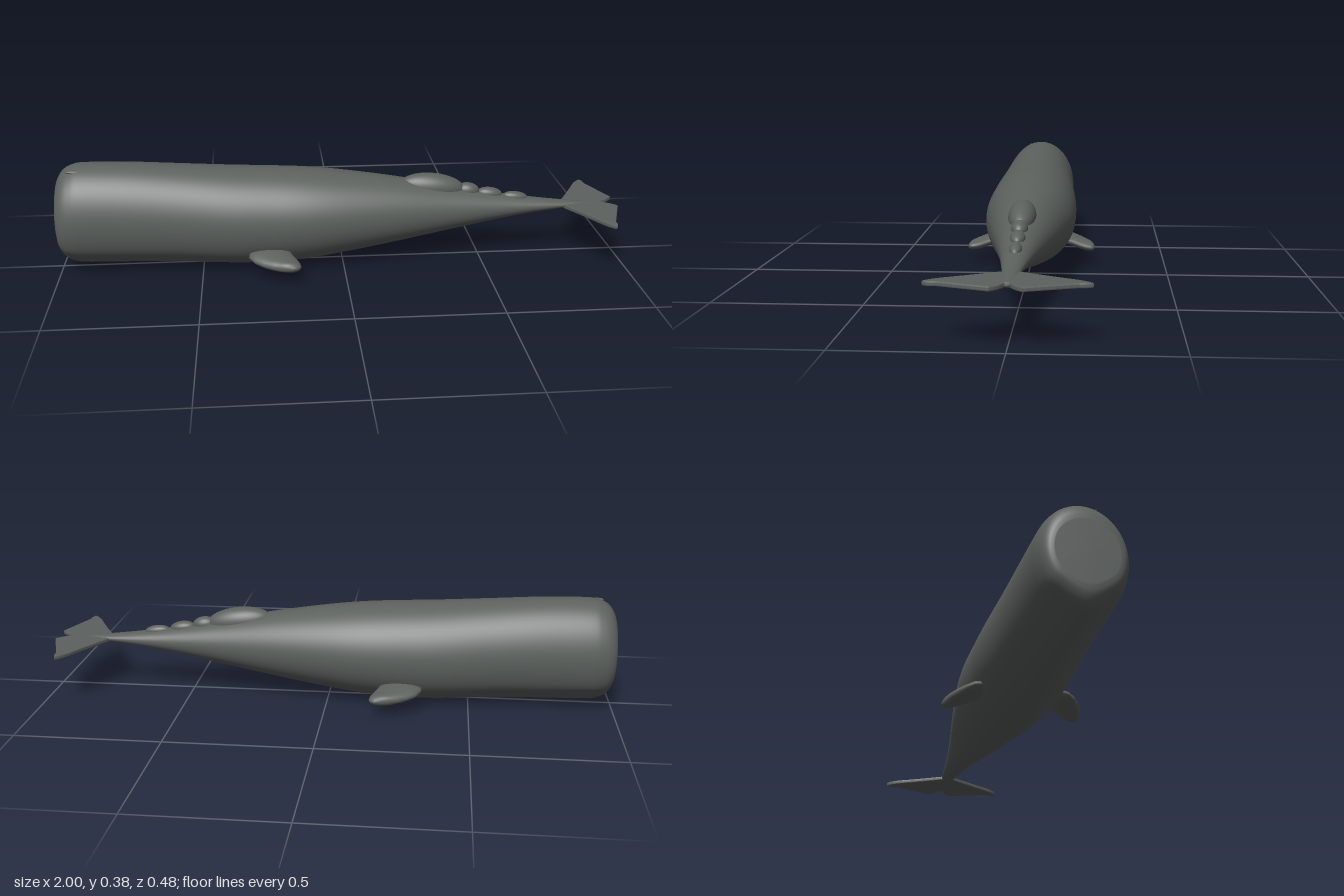
import * as THREE from 'three';

// Skin a list of closed rings, capping both ends
function loft(rings) {
  const n = rings[0].length, pos = [], idx = [];
  rings.forEach(r => r.forEach(p => pos.push(...p)));
  for (let i = 0; i < rings.length - 1; i++) {
    for (let j = 0; j < n; j++) {
      const k = (j + 1) % n, a = i * n + j, b = i * n + k;
      idx.push(a, a + n, b, b, a + n, b + n);
    }
  }
  const last = (rings.length - 1) * n, c = rings.length * n;
  for (const r of [rings[0], rings[rings.length - 1]]) {
    pos.push(...[0, 1, 2].map(d => r.reduce((s, p) => s + p[d], 0) / n));
  }
  for (let j = 0; j < n; j++) {
    const k = (j + 1) % n;
    idx.push(c, j, k, c + 1, last + k, last + j);
  }
  const g = new THREE.BufferGeometry();
  g.setAttribute('position', new THREE.Float32BufferAttribute(pos, 3));
  g.setIndex(idx);
  g.computeVertexNormals();
  return g;
}

// Body stations: x, top, bottom, half width, flatness of the jaw planes
const STATIONS = [
  [-1.0, 0.305, 0.095, 0.098, 0.4], [-0.994, 0.335, 0.066, 0.115, 0.5],
  [-0.975, 0.364, 0.038, 0.13, 0.6], [-0.945, 0.381, 0.025, 0.138, 0.6],
  [-0.9, 0.388, 0.02, 0.142, 0.6], [-0.75, 0.385, 0.017, 0.146, 0.6],
  [-0.58, 0.374, 0.013, 0.153, 0.55], [-0.4, 0.362, 0.004, 0.164, 0.4],
  [-0.28, 0.356, 0.006, 0.166, 0.15], [-0.14, 0.348, 0.016, 0.165, 0],
  [0, 0.333, 0.036, 0.151, 0], [0.2, 0.303, 0.07, 0.119, 0],
  [0.4, 0.264, 0.108, 0.083, 0], [0.6, 0.227, 0.145, 0.051, 0],
  [0.8, 0.2, 0.172, 0.027, 0], [0.96, 0.187, 0.18, 0.008, 0],
];

function bodyGeometry() {
  const spline = f => new THREE.CatmullRomCurve3(STATIONS.map(f), false, 'catmullrom');
  const profile = spline(s => new THREE.Vector3(s[0], s[1], s[2]));
  const girth = spline(s => new THREE.Vector3(s[3], s[4], 0));
  const rings = [], steps = (STATIONS.length - 1) * 4, sides = 64;
  const crease = 0.61, creaseZ = Math.sqrt(1 - crease * crease);
  for (let i = 0; i <= steps; i++) {
    const p = profile.getPoint(i / steps), w = girth.getPoint(i / steps);
    const mid = (p.y + p.z) / 2, h = (p.y - p.z) / 2, ring = [];
    for (let j = 0; j < sides; j++) {
      const a = j / sides * Math.PI * 2, y = Math.sin(a);
      let z = Math.cos(a);
      // below the mouth line the head narrows into two flatter planes
      if (y < -crease) {
        const chord = Math.sign(z) * creaseZ * (1 + y) / (1 - crease);
        z += (chord - z) * Math.max(0, w.y) * 0.75;
      }
      ring.push([p.x, mid + h * y, w.x * z]);
    }
    rings.push(ring);
  }
  return loft(rings);
}

// Flipper stations: z, leading x, trailing x, height, half thickness
const FLIPPER = [
  [0.11, -0.335, -0.2, 0.09, 0.02], [0.16, -0.337, -0.182, 0.08, 0.021],
  [0.185, -0.318, -0.168, 0.073, 0.021], [0.205, -0.29, -0.16, 0.069, 0.02],
  [0.222, -0.257, -0.158, 0.067, 0.018], [0.232, -0.226, -0.162, 0.066, 0.014],
  [0.238, -0.197, -0.174, 0.065, 0.006],
];

function flipperGeometry(side) {
  return loft(FLIPPER.map(([z, x0, x1, y, t]) => Array.from({ length: 24 }, (_, j) => {
    const a = j / 24 * Math.PI * 2;
    return [(x0 + x1) / 2 + (x1 - x0) / 2 * Math.cos(a), y - side * t * Math.sin(a), side * z];
  })));
}

// One half of the tail, drawn in plan and extruded upward
function flukeGeometry(side) {
  const s = new THREE.Shape();
  s.moveTo(0.8, 0);
  s.lineTo(0.81, side * 0.026);
  s.quadraticCurveTo(0.865, side * 0.12, 0.895, side * 0.18);
  s.quadraticCurveTo(0.915, side * 0.218, 0.936, side * 0.234);
  s.quadraticCurveTo(0.945, side * 0.222, 0.942, side * 0.198);
  s.lineTo(0.997, side * 0.046);
  s.quadraticCurveTo(0.978, side * 0.02, 0.945, side * 0.008);
  s.lineTo(0.945, 0);
  const g = new THREE.ExtrudeGeometry(s, {
    depth: 0.007, bevelThickness: 0.004, bevelSize: 0.003, bevelSegments: 2, curveSegments: 8,
  });
  g.rotateX(Math.PI / 2);
  g.translate(0, 0.1865, 0);
  return g;
}

export function createModel() {
  const model = new THREE.Group();
  const skin = new THREE.MeshStandardMaterial({ color: 0x5c615e });
  skin.name = 'grey skin';
  const add = (name, geometry) => {
    const mesh = new THREE.Mesh(geometry, skin);
    mesh.name = name;
    model.add(mesh);
    return mesh;
  };

  add('body', bodyGeometry());
  for (const [label, side] of [['near', 1], ['far', -1]]) {
    add(label + 'Flipper', flipperGeometry(side));
    add(label + 'Fluke', flukeGeometry(side));
  }

  // Dorsal hump and the row of knuckles behind it: x, y, half length, half height, half width
  const bumps = [
    [0.325, 0.267, 0.118, 0.049, 0.046], [0.455, 0.25, 0.042, 0.027, 0.027],
    [0.535, 0.235, 0.046, 0.022, 0.024], [0.63, 0.219, 0.046, 0.019, 0.02],
  ];
  bumps.forEach(([x, y, l, h, w], i) => {
    const bump = add(i ? 'knuckle' + i : 'dorsalHump', new THREE.SphereGeometry(1, 32, 20));
    bump.position.set(x, y, 0);
    bump.scale.set(l, h, w);
    bump.rotation.z = -0.12;
  });

  // Blowhole bump, offset to one side of the head
  const blowhole = add('blowhole', new THREE.SphereGeometry(1, 16, 10));
  blowhole.position.set(-0.93, 0.372, 0.045);
  blowhole.scale.set(0.03, 0.006, 0.008);
  return model;
}
